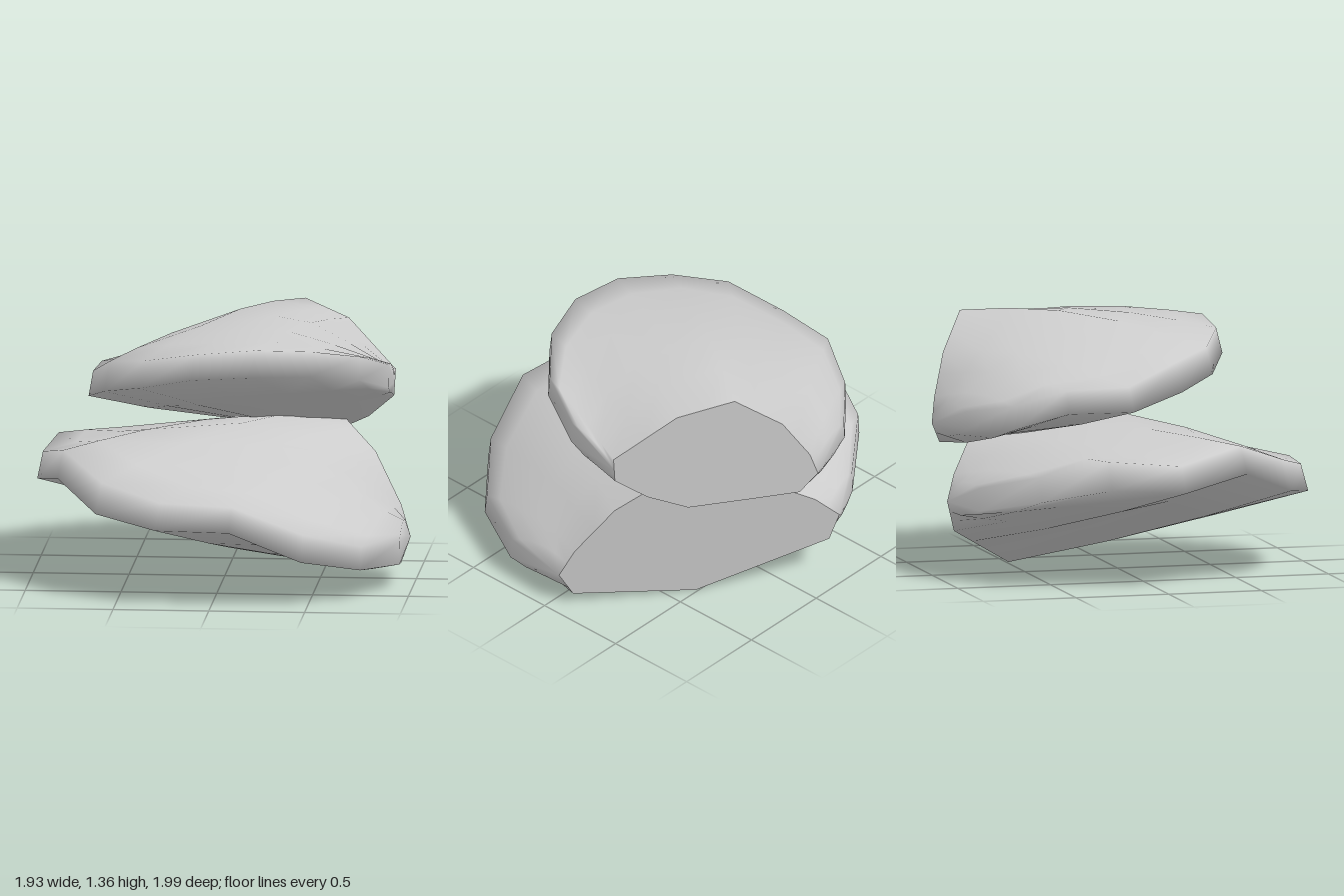
import * as THREE from 'three';
import { mergeVertices } from 'three/addons/utils/BufferGeometryUtils.js';

// u runs outward from the flat cut face, v runs along it
const U = new THREE.Vector3(-0.6, 0, 0.8);
const V = new THREE.Vector3(0.8, 0, 0.6);
const SEGMENTS = 12;

// cut: u of the cut face at y = 0 and its lean; upper and lower: [v, y] edges of the cut face;
// rim: [x, z, lower y, upper y] from the left end round the front to the back
const LOWER = {
  cut: [-0.61, -0.115],
  upper: [[0.73, 0.21], [0.65, 0.365], [0.444, 0.62], [0.15, 0.81], [-0.346, 0.7], [-0.62, 0.54], [-0.75, 0.415]],
  lower: [[0.73, 0.21], [0.652, 0.07], [0, 0], [-0.7, 0.255], [-0.75, 0.415]],
  rim: [
    [0.935, 0.3, 0.13, 0.25], [0.76, 0.64, 0.16, 0.28], [0.47, 0.88, 0.24, 0.38], [0.1, 0.99, 0.41, 0.54],
    [-0.285, 0.95, 0.41, 0.55], [-0.61, 0.77, 0.46, 0.62], [-0.835, 0.47, 0.59, 0.735],
    [-0.97, 0.105, 0.52, 0.66], [-0.915, -0.28, 0.54, 0.69], [-0.755, -0.615, 0.47, 0.6], [-0.435, -0.86, 0.39, 0.51],
  ],
  bulge: 0.04,
};
const UPPER = {
  cut: [-0.77, -0.035],
  upper: [[0.47, 0.97], [0.474, 1.04], [0.14, 1.27], [-0.165, 1.336], [-0.42, 1.15], [-0.566, 0.93], [-0.61, 0.8]],
  lower: [[0.47, 0.97], [0.466, 0.9], [0.294, 0.77], [0.076, 0.67], [-0.25, 0.68], [-0.513, 0.69], [-0.61, 0.8]],
  rim: [
    [0.85, -0.05, 1.0, 1.12], [0.72, 0.23, 1.09, 1.21], [0.48, 0.44, 1.14, 1.27], [0.19, 0.54, 1.15, 1.29],
    [-0.13, 0.53, 1.13, 1.26], [-0.41, 0.4, 1.06, 1.2], [-0.61, 0.18, 1.0, 1.155], [-0.72, -0.11, 0.92, 1.05],
    [-0.7, -0.45, 0.92, 1.04], [-0.56, -0.7, 0.83, 0.95], [-0.33, -0.9, 0.81, 0.9],
  ],
  bulge: 0.05,
};

// Point on an edge of the cut face, t from 0 to 1
function cutPoint(edge, t, [u, lean]) {
  const at = t * (edge.length - 1);
  const k = Math.min(Math.floor(at), edge.length - 2);
  const v = THREE.MathUtils.lerp(edge[k][0], edge[k + 1][0], at - k);
  const y = THREE.MathUtils.lerp(edge[k][1], edge[k + 1][1], at - k);
  return new THREE.Vector3(0, y, 0).addScaledVector(U, u + lean * y).addScaledVector(V, v);
}

// Skin between neighbouring columns of points
function skin(columns) {
  const rows = columns[0].length;
  const index = [];
  for (let i = 0; i < columns.length - 1; i++) {
    for (let j = 0; j < rows - 1; j++) {
      const a = i * rows + j, c = a + rows;
      index.push(a, a + 1, c, a + 1, c + 1, c);
    }
  }
  let geometry = new THREE.BufferGeometry().setFromPoints(columns.flat());
  geometry.setIndex(index);
  geometry = mergeVertices(geometry);
  geometry.computeVertexNormals();
  return geometry;
}

function shelf(name, { cut, upper, lower, rim, bulge }, material) {
  const capColumns = [];
  const cutColumns = [];
  for (let i = 0; i <= SEGMENTS; i++) {
    const top = cutPoint(upper, i / SEGMENTS, cut);
    const bottom = cutPoint(lower, i / SEGMENTS, cut);
    cutColumns.push([top, bottom]);

    // The rim runs into the cut face at both ends
    const atEnd = i === 0 || i === SEGMENTS;
    const [x, z, y0, y1] = atEnd ? [top.x, top.z, top.y, top.y] : rim[i - 1];
    const rimLow = new THREE.Vector3(x, y0, z);
    const rimHigh = new THREE.Vector3(x, y1, z).lerp(new THREE.Vector3(top.x, y1, top.z), 0.025);
    const arch = atEnd ? 0 : bulge;

    const column = [];
    // Underside, nearly straight from cut face to rim
    for (const s of [0, 0.35, 0.7, 1]) {
      const p = bottom.clone().lerp(rimLow, s);
      p.y -= arch * 0.6 * Math.sin(s * Math.PI);
      column.push(p);
    }
    // Domed top from rim back to cut face
    for (const s of [0, 0.15, 0.35, 0.6, 0.8, 1]) {
      const p = rimHigh.clone().lerp(top, s);
      p.y = THREE.MathUtils.lerp(rimHigh.y, top.y, Math.sin(s * Math.PI / 2)) + arch * Math.sin(s * Math.PI);
      column.push(p);
    }
    capColumns.push(column);
  }

  const group = new THREE.Group();
  group.name = name;
  const cap = new THREE.Mesh(skin(capColumns), material);
  cap.name = name + 'Cap';
  const face = new THREE.Mesh(skin(cutColumns), material);
  face.name = name + 'CutFace';
  group.add(cap, face);
  return group;
}

export function createModel() {
  const material = new THREE.MeshStandardMaterial({ color: 0xcccccc });
  const model = new THREE.Group();
  model.name = 'bracketFungus';
  model.add(shelf('lowerShelf', LOWER, material), shelf('upperShelf', UPPER, material));
  return model;
}
